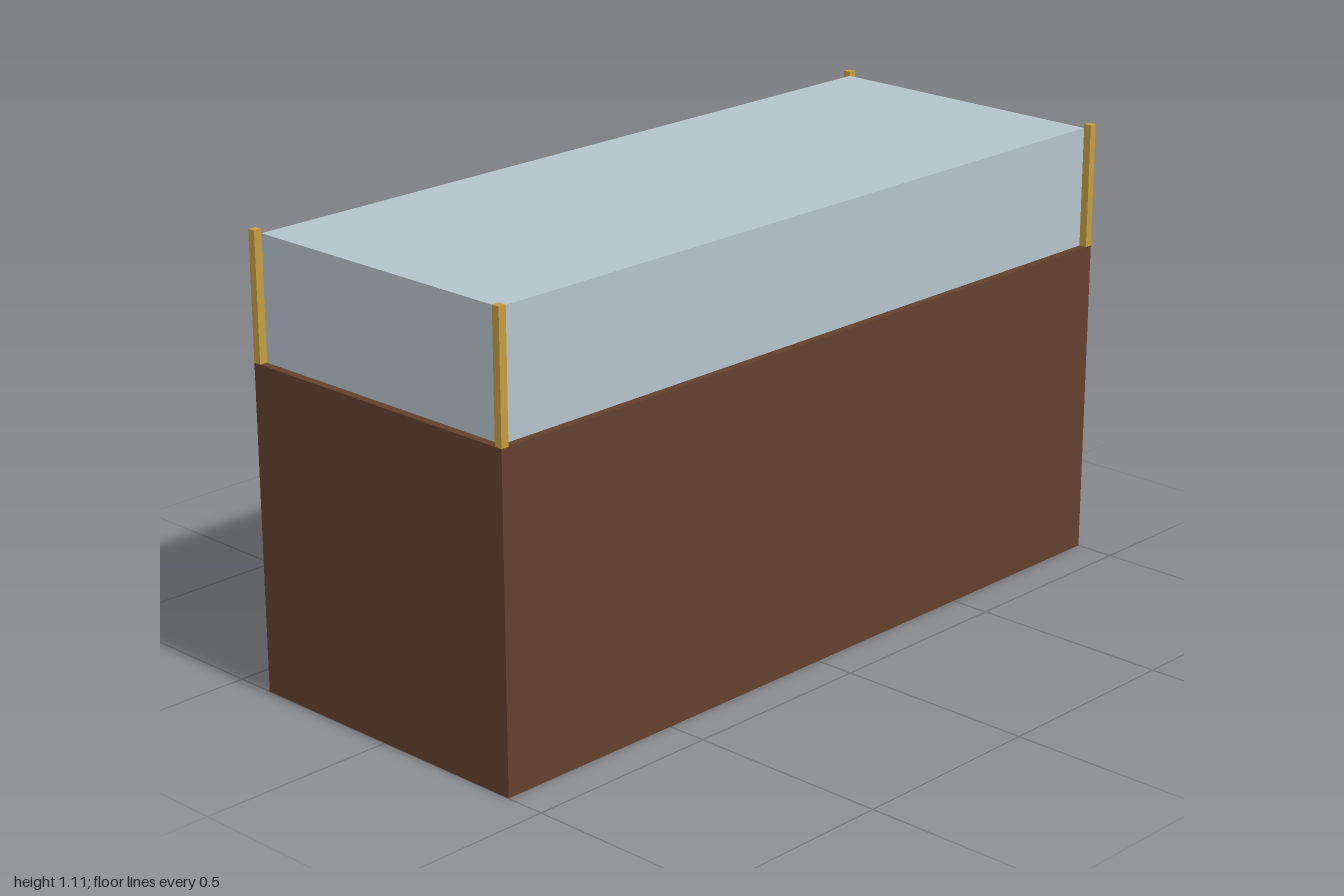
import * as THREE from 'three';

const WIDTH = 2, DEPTH = 0.8, BASE_H = 0.8, GLASS_H = 0.3, POST = 0.02, POST_H = 0.31;

export function createModel() {
  const wood = new THREE.MeshStandardMaterial({ name: 'dark wood', color: 0x62402c });
  const glass = new THREE.MeshStandardMaterial({ name: 'pale glass', color: 0xb4c3ca });
  const brass = new THREE.MeshStandardMaterial({ name: 'brass', color: 0xc49c40 });
  const model = new THREE.Group();
  model.name = 'displayCase';

  // Box standing with its underside at the given height
  const addBox = (name, material, w, h, d, x, bottom, z) => {
    const mesh = new THREE.Mesh(new THREE.BoxGeometry(w, h, d), material);
    mesh.name = name;
    mesh.position.set(x, bottom + h / 2, z);
    model.add(mesh);
  };

  // Cabinet base and the glass cover set in from its edges
  addBox('base', wood, WIDTH, BASE_H, DEPTH, 0, 0, 0);
  addBox('glassCover', glass, WIDTH - 2 * POST, GLASS_H, DEPTH - 2 * POST, 0, BASE_H, 0);

  // Corner posts
  for (const [side, sx] of [['Left', 1], ['Right', -1]]) {
    for (const [end, sz] of [['front', 1], ['back', -1]]) {
      addBox(`${end}${side}Post`, brass, POST, POST_H, POST,
        sx * (WIDTH - POST) / 2, BASE_H, sz * (DEPTH - POST) / 2);
    }
  }
  return model;
}
